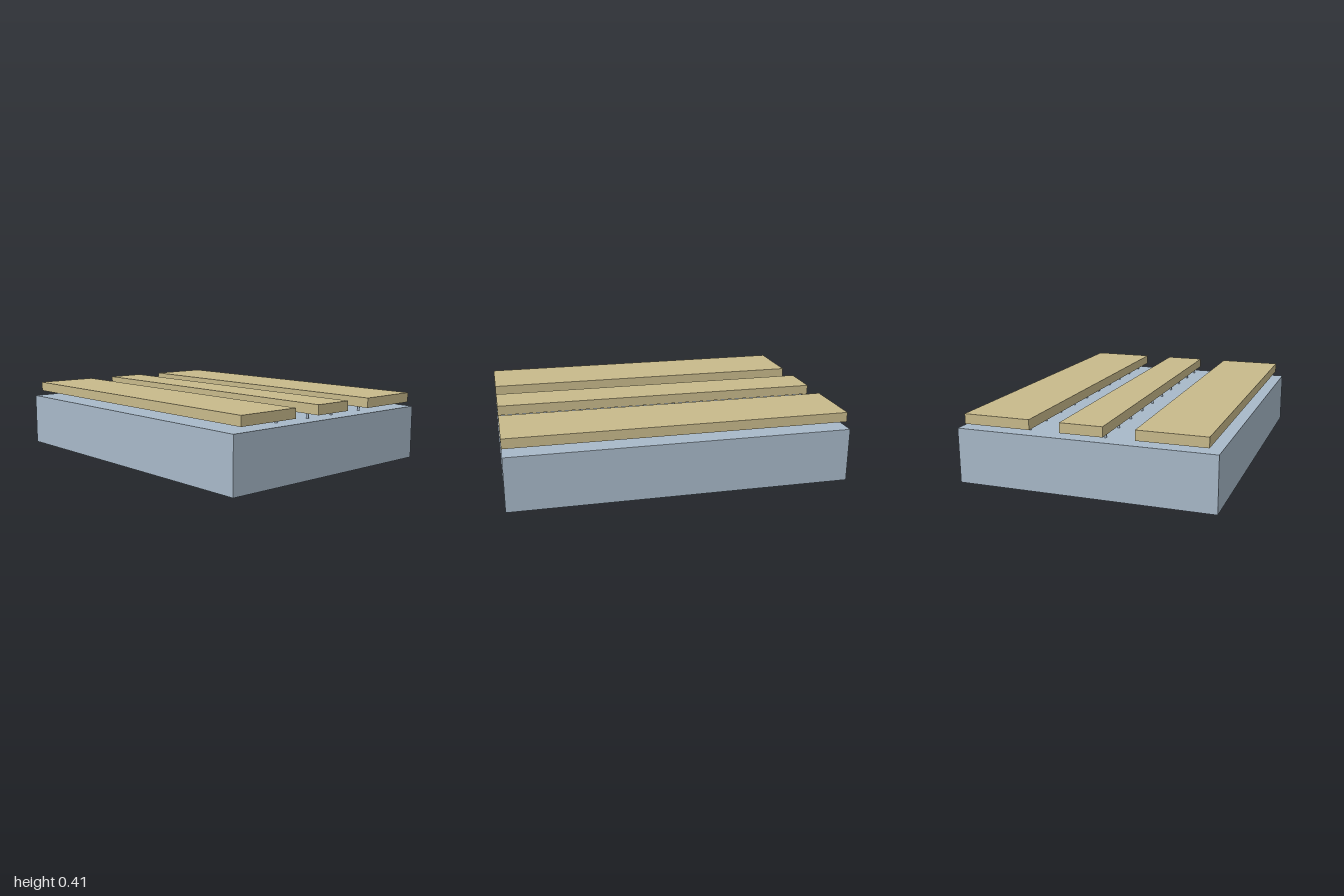
import * as THREE from 'three';

export function createModel() {
  const group = new THREE.Group();
  const metal = new THREE.MeshStandardMaterial({ color: 0xa8b9c9 });
  metal.name = 'blue grey';
  const wood = new THREE.MeshStandardMaterial({ color: 0xc8ba8b });
  wood.name = 'tan';

  const baseTop = 0.32, plankBottom = 0.35, plankTop = 0.408;

  const add = (name, geometry, material, x, y, z) => {
    const mesh = new THREE.Mesh(geometry, material);
    mesh.name = name;
    mesh.position.set(x, y, z);
    group.add(mesh);
  };

  // Solid base block
  add('base', new THREE.BoxGeometry(1.495, baseTop, 2), metal, 0, baseTop / 2, 0);

  // Three full-length planks floating above the base
  const planks = [['rightPlank', -0.5, 0.394], ['middlePlank', 0, 0.248], ['leftPlank', 0.5, 0.394]];
  for (const [name, x, width] of planks) {
    const geometry = new THREE.BoxGeometry(width, plankTop - plankBottom, 2);
    add(name, geometry, wood, x, (plankTop + plankBottom) / 2, 0);
  }

  // Rows of small pegs carrying the plank edges
  const peg = new THREE.CylinderGeometry(0.0075, 0.0075, plankBottom - baseTop, 12);
  for (const x of [-0.348, -0.1, 0.1, 0.348]) {
    for (let i = 0; i < 10; i++) {
      add('peg', peg, metal, x, (baseTop + plankBottom) / 2, -0.9 + i * 0.2);
    }
  }
  return group;
}
